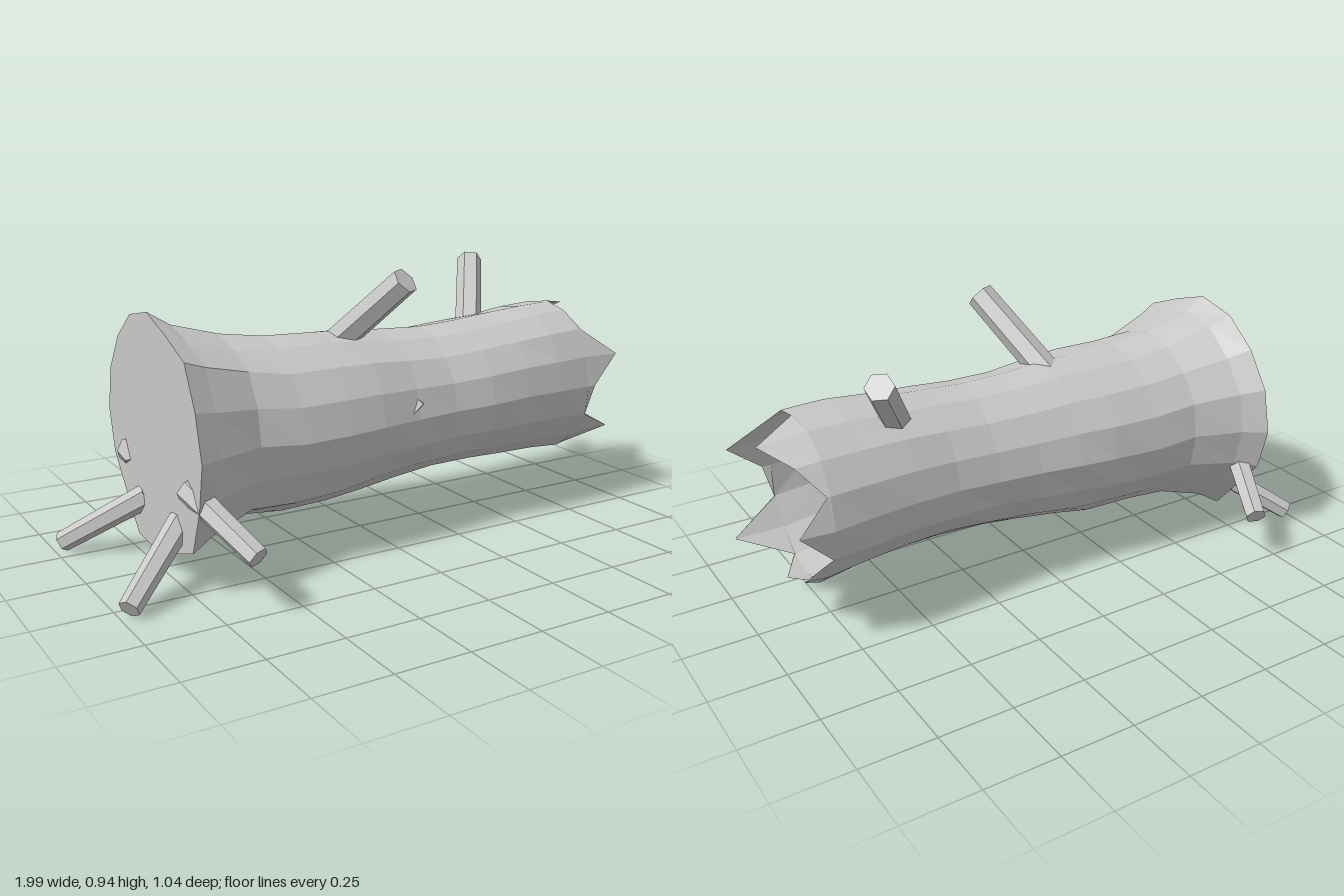
import * as THREE from 'three';

const wood = new THREE.MeshStandardMaterial({ color: 0xc8c8c8, flatShading: true, side: THREE.DoubleSide });
wood.name = 'paleWood';

const SIDES = 16;
// cross-sections along the log: x, top y, bottom y, back z, front z
const RINGS = [
  [-0.755, 0.84, 0.06, -0.41, 0.37],
  [-0.68, 0.80, 0.10, -0.365, 0.335],
  [-0.52, 0.75, 0.145, -0.305, 0.285],
  [-0.37, 0.727, 0.145, -0.292, 0.29],
  [-0.2, 0.727, 0.15, -0.285, 0.285],
  [-0.07, 0.72, 0.165, -0.27, 0.275],
  [0.08, 0.705, 0.185, -0.25, 0.258],
  [0.23, 0.70, 0.20, -0.237, 0.258],
  [0.38, 0.71, 0.205, -0.24, 0.268],
  [0.53, 0.725, 0.205, -0.253, 0.27],
  [0.68, 0.735, 0.195, -0.265, 0.265],
  [0.82, 0.74, 0.185, -0.275, 0.25],
];
// uneven outline of the flared base, starting at the top and turning to the front
const BASE = [1, 0.95, 1.03, 0.98, 1, 1, 1.09, 0.98, 1, 1.05, 0.94, 0.98, 1, 0.99, 0.98, 1];
// how far the broken rim reaches along x at each side
const RIM = [0.83, 0.825, 0.84, 0.97, 0.85, 0.825, 0.99, 0.825, 0.89, 0.825, 0.9, 0.825, 0.93, 0.83, 0.9, 0.98];

function seeded(seed) {
  return () => {
    seed = (seed * 16807) % 2147483647;
    return seed / 2147483647 - 0.5;
  };
}

function ringPoint([x, top, bottom, back, front], i, scale) {
  const a = (i / SIDES) * Math.PI * 2;
  const y = (top + bottom) / 2 + Math.cos(a) * scale * (top - bottom) / 2;
  const z = (front + back) / 2 + Math.sin(a) * scale * (front - back) / 2;
  return [x, y, z];
}

// hollow trunk: loft of rings ending in a splintered rim
function trunkGeometry() {
  const rand = seeded(41);
  const pos = [], index = [];
  RINGS.forEach((ring, k) => {
    const fade = Math.max(0, 1 - k / 5);
    for (let i = 0; i < SIDES; i++) {
      const noise = k === 0 ? 0 : rand() * 0.035;
      pos.push(...ringPoint(ring, i, 1 + (BASE[i] - 1) * fade + noise));
    }
  });
  const last = RINGS[RINGS.length - 1];
  for (let i = 0; i < SIDES; i++) {
    const p = ringPoint(last, i, 1 - (RIM[i] - 0.82) * 0.25);
    pos.push(RIM[i], p[1], p[2]);
  }
  for (let k = 0; k < RINGS.length; k++) {
    for (let i = 0; i < SIDES; i++) {
      const j = (i + 1) % SIDES;
      const a = k * SIDES + i, b = k * SIDES + j, c = a + SIDES, d = b + SIDES;
      index.push(a, b, d, a, d, c);
    }
  }
  return build(pos, index);
}

// flat disc closing the flared base
function capGeometry() {
  const pos = [], index = [];
  for (let i = 0; i < SIDES; i++) pos.push(...ringPoint(RINGS[0], i, BASE[i]));
  pos.push(RINGS[0][0], 0.45, -0.02);
  for (let i = 0; i < SIDES; i++) index.push(SIDES, (i + 1) % SIDES, i);
  return build(pos, index);
}

function build(pos, index) {
  const g = new THREE.BufferGeometry();
  g.setAttribute('position', new THREE.Float32BufferAttribute(pos, 3));
  g.setIndex(index);
  g.computeVertexNormals();
  return g;
}

// six-sided stick between two points
function stick(name, from, to, rootRadius, tipRadius) {
  const a = new THREE.Vector3(...from), b = new THREE.Vector3(...to);
  const dir = b.clone().sub(a);
  const mesh = new THREE.Mesh(new THREE.CylinderGeometry(tipRadius, rootRadius, dir.length(), 6), wood);
  mesh.position.copy(a).add(b).multiplyScalar(0.5);
  mesh.quaternion.setFromUnitVectors(new THREE.Vector3(0, 1, 0), dir.normalize());
  mesh.name = name;
  return mesh;
}

export function createModel() {
  const model = new THREE.Group();
  model.name = 'hollowLog';

  const trunk = new THREE.Mesh(trunkGeometry(), wood);
  trunk.name = 'trunk';
  const cap = new THREE.Mesh(capGeometry(), wood);
  cap.name = 'baseCap';
  model.add(trunk, cap);

  // broken branches
  model.add(
    stick('branchMiddle', [-0.12, 0.63, -0.05], [0.025, 0.91, 0.24], 0.052, 0.048),
    stick('branchUpper', [0.5, 0.65, -0.06], [0.65, 0.88, -0.265], 0.048, 0.046),
    stick('branchFront', [-0.05, 0.63, 0.05], [0.085, 0.46, 0.225], 0.052, 0.05),
    stick('branchInner', [0.25, 0.47, 0], [0.38, 0.29, 0], 0.043, 0.04),
  );

  // mirrored roots at the base
  for (const s of [1, -1]) {
    const side = s > 0 ? 'Front' : 'Back';
    model.add(
      stick('rootLow' + side, [-0.73, 0.21, 0.14 * s], [-0.975, 0.036, 0.315 * s], 0.042, 0.035),
      stick('rootSide' + side, [-0.75, 0.345, 0.24 * s], [-0.645, 0.19, 0.5 * s], 0.042, 0.036),
    );
  }
  return model;
}
